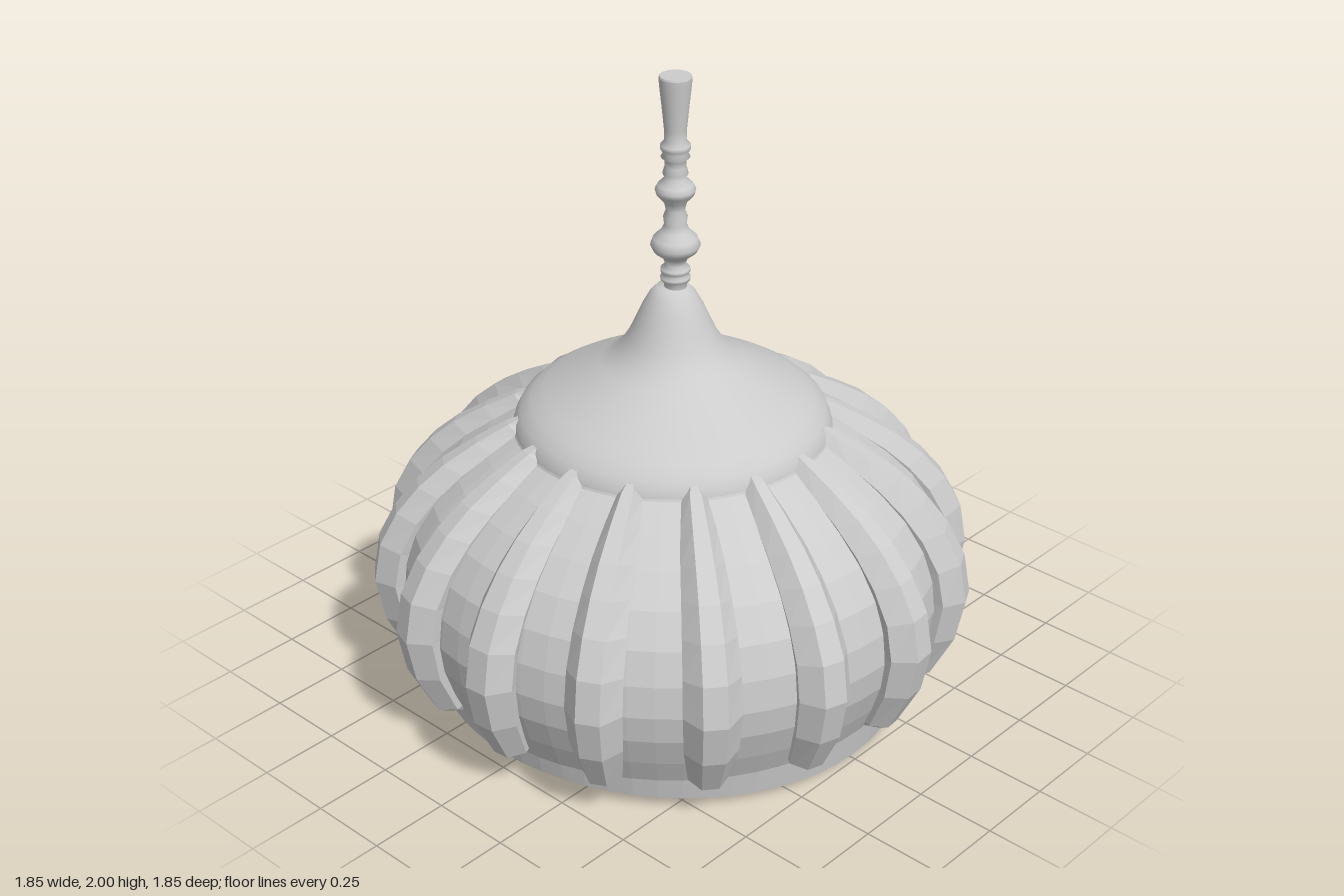
import * as THREE from 'three';

const smooth = new THREE.MeshStandardMaterial({ color: 0xcccccc });
const faceted = new THREE.MeshStandardMaterial({ color: 0xcccccc, flatShading: true });

function lathe(name, profile, segments, material) {
  const points = profile.map(([r, y]) => new THREE.Vector2(r, y));
  const mesh = new THREE.Mesh(new THREE.LatheGeometry(points, segments), material);
  mesh.name = name;
  return mesh;
}

// Hollow dome wall: inner face downwards, rim, outer face upwards
function makeShell() {
  const shell = lathe('domeShell', [
    [0, 1.1], [0.15, 1.04], [0.36, 0.9], [0.46, 0.82], [0.58, 0.725], [0.67, 0.62], [0.73, 0.52], [0.755, 0.42],
    [0.745, 0.31], [0.715, 0.2], [0.665, 0.12], [0.61, 0.034],
    [0.72, 0.036], [0.742, 0.05], [0.755, 0.11], [0.795, 0.2], [0.83, 0.3], [0.842, 0.39], [0.832, 0.49],
    [0.8, 0.59], [0.74, 0.685], [0.66, 0.765], [0.57, 0.835], [0.485, 0.89], [0.47, 0.92],
  ], 64, faceted);
  // The rim dips gently towards the left and right
  const pos = shell.geometry.attributes.position;
  for (let i = 0; i < pos.count; i++) {
    const x = pos.getX(i), y = pos.getY(i), z = pos.getZ(i);
    if (y < 0.07) pos.setY(i, y - 0.032 * x * x / (x * x + z * z));
  }
  return shell;
}

// Rib lofted from hexagonal sections; each row: outer r, outer y, inner r, inner y, half width
function makeRibGeometry() {
  const rows = [
    [0.785, 0.105, 0.68, 0.125, 0.035],
    [0.83, 0.13, 0.68, 0.155, 0.06],
    [0.9, 0.27, 0.715, 0.29, 0.08],
    [0.927, 0.41, 0.725, 0.42, 0.086],
    [0.905, 0.54, 0.705, 0.5, 0.084],
    [0.85, 0.645, 0.655, 0.59, 0.079],
    [0.78, 0.73, 0.59, 0.665, 0.072],
    [0.7, 0.8, 0.52, 0.73, 0.064],
    [0.6, 0.865, 0.46, 0.78, 0.053],
    [0.5, 0.92, 0.41, 0.83, 0.04],
    [0.46, 0.935, 0.39, 0.85, 0.022],
  ];
  // Section corners: depth from the outer to the inner edge, share of the half width
  const section = [[0, 0.42], [0.3, 1], [1, 0.42], [1, -0.42], [0.3, -1], [0, -0.42]];
  const n = section.length, positions = [], index = [];
  for (const [ro, yo, ri, yi, w] of rows) {
    for (const [d, t] of section) positions.push(ro + (ri - ro) * d, yo + (yi - yo) * d, t * w);
  }
  for (let i = 0; i < rows.length - 1; i++) {
    for (let j = 0; j < n; j++) {
      const a = i * n + j, b = i * n + (j + 1) % n;
      index.push(a, a + n, b, b, a + n, b + n);
    }
  }
  const last = (rows.length - 1) * n;
  for (let j = 1; j < n - 1; j++) {
    index.push(0, j, j + 1, last, last + j + 1, last + j);
  }
  const geometry = new THREE.BufferGeometry();
  geometry.setAttribute('position', new THREE.Float32BufferAttribute(positions, 3));
  geometry.setIndex(index);
  geometry.computeVertexNormals();
  return geometry;
}

export function createModel() {
  const model = new THREE.Group();
  model.name = 'ribbedDome';
  model.add(makeShell());

  // Sweeping cap above the ribs
  model.add(lathe('domeCap', [
    [0.482, 0.895], [0.478, 0.915], [0.462, 0.945], [0.43, 0.975], [0.39, 1.0], [0.3, 1.05], [0.215, 1.1],
    [0.187, 1.12], [0.158, 1.15], [0.135, 1.185], [0.114, 1.23], [0.092, 1.28], [0.07, 1.32], [0.048, 1.344],
    [0, 1.354],
  ], 64, smooth));

  // Turned spire with a flat end
  const finial = new THREE.Group();
  finial.name = 'finial';
  finial.position.x = 0.01;
  finial.add(lathe('spire', [
    [0.034, 1.34], [0.034, 1.362], [0.044, 1.368], [0.045, 1.378], [0.035, 1.386], [0.044, 1.395], [0.044, 1.405],
    [0.03, 1.418], [0.038, 1.44], [0.064, 1.46], [0.074, 1.48], [0.066, 1.502], [0.042, 1.525], [0.033, 1.545],
    [0.036, 1.57], [0.028, 1.59], [0.034, 1.615], [0.056, 1.64], [0.06, 1.655], [0.052, 1.67], [0.032, 1.69],
    [0.038, 1.705], [0.032, 1.725], [0.032, 1.745], [0.043, 1.755], [0.036, 1.767], [0.044, 1.78], [0.044, 1.792],
    [0.032, 1.805], [0.033, 1.84], [0.04, 1.91], [0.047, 1.975], [0.048, 1.995],
  ], 24, smooth));
  finial.add(lathe('spireTip', [[0.048, 1.995], [0.046, 2.0], [0, 2.0]], 24, faceted));
  model.add(finial);

  // Sixteen ribs around the dome
  const ribs = new THREE.Group();
  ribs.name = 'ribs';
  const ribGeometry = makeRibGeometry();
  for (let i = 0; i < 16; i++) {
    const rib = new THREE.Mesh(ribGeometry, faceted);
    rib.name = 'rib';
    rib.rotation.y = THREE.MathUtils.degToRad(5.3 + i * 22.5);
    ribs.add(rib);
  }
  model.add(ribs);
  return model;
}
